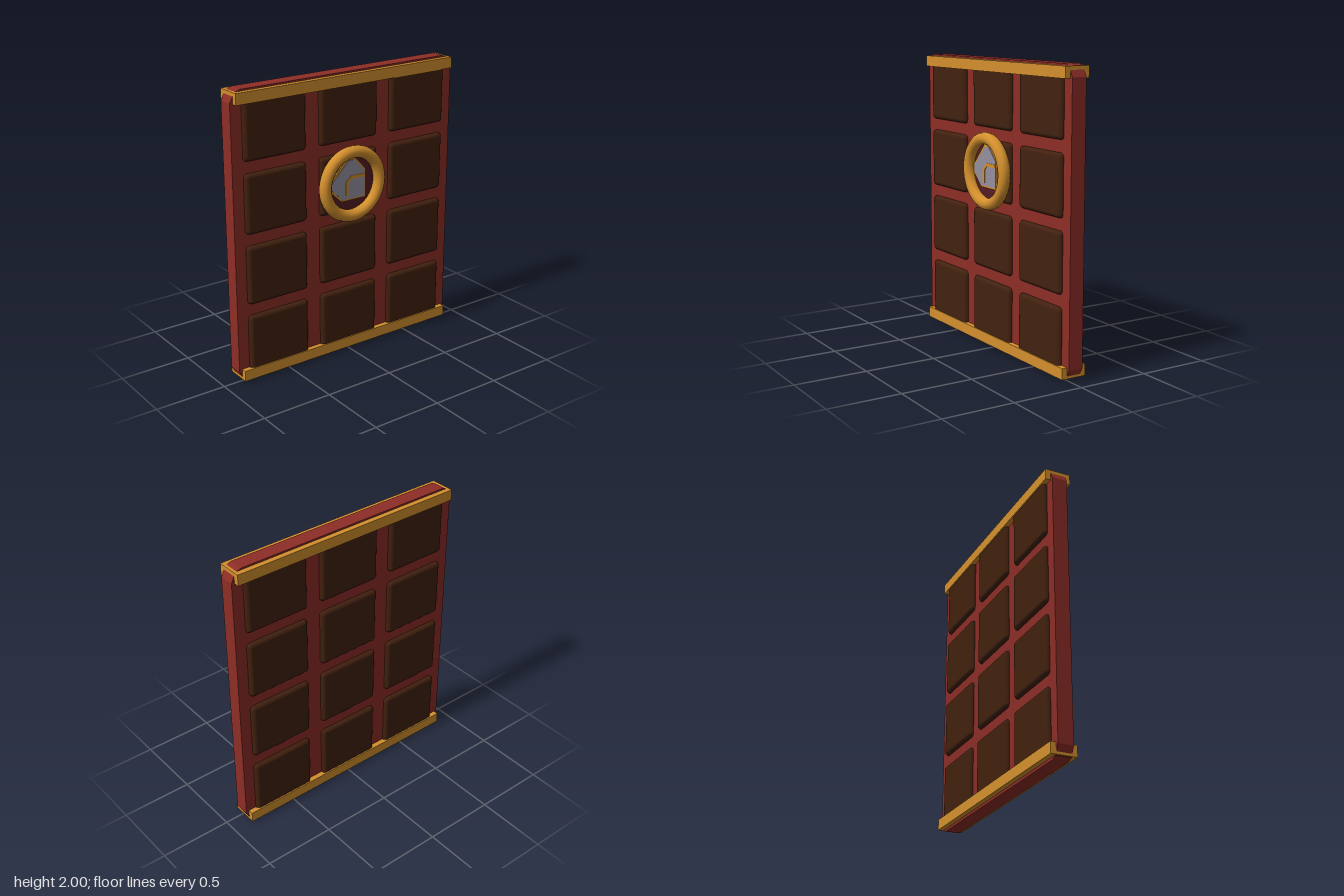
import * as THREE from 'three';
import { RoundedBoxGeometry } from 'three/addons/geometries/RoundedBoxGeometry.js';

export function createModel() {
  const model = new THREE.Group();
  model.name = 'panelledDoor';

  const material = (name, color) => {
    const m = new THREE.MeshStandardMaterial({ color });
    m.name = name;
    return m;
  };
  const red = material('red frame', 0x8d2d26);
  const brown = material('dark brown wood', 0x42210f);
  const gold = material('gold trim', 0xd4902d);
  const maroon = material('maroon disc', 0x541c22);
  const grey = material('grey inlay', 0x9490a0);

  const add = (name, geometry, mat, x = 0, y = 0, z = 0) => {
    const mesh = new THREE.Mesh(geometry, mat);
    mesh.name = name;
    mesh.position.set(x, y, z);
    model.add(mesh);
    return mesh;
  };
  const plate = (points, depth) => new THREE.ExtrudeGeometry(
    new THREE.Shape(points.map(([x, y]) => new THREE.Vector2(x, y))),
    { depth, bevelEnabled: false });

  // Slab with clipped corners
  const corner = [[0.89, 0.92], [0.857, 0.985], [0.815, 1]];
  const flip = (sx, sy) => corner.map(([x, y]) => [x * sx, y * sy]);
  const outline = [
    ...flip(1, 1), ...flip(-1, 1).reverse(),
    ...flip(-1, -1), ...flip(1, -1).reverse(),
  ];
  add('frameSlab', plate(outline, 0.105), red, 0, 1, -0.086);

  // Cushioned panels, showing on both faces
  const panel = new RoundedBoxGeometry(0.467, 0.41, 0.161, 3, 0.028);
  for (let row = 0; row < 4; row++) {
    for (let col = -1; col <= 1; col++) {
      add('panel', panel, brown, col * 0.577, 0.268 + row * 0.49, -0.033);
    }
  }

  // Trim bands across the top and bottom
  const band = new THREE.BoxGeometry(1.736, 0.076, 0.178);
  add('bottomBand', band, gold, 0, 0.057, -0.034);
  add('topBand', band, gold, 0, 1.95, -0.034);

  // Round medallion
  const cy = 1.244;
  add('medallionRing', new THREE.TorusGeometry(0.223, 0.042, 12, 64), gold, 0, cy, 0.078);
  const disc = add('medallionDisc', new THREE.CylinderGeometry(0.21, 0.21, 0.03, 48), maroon, 0, cy, 0.045);
  disc.rotation.x = Math.PI / 2;

  // Angular emblem: gold backing, grey inlay, gold bent strip
  const backing = [[0.116, -0.117], [0.116, 0.084], [0.026, 0.179], [-0.048, 0.179],
    [-0.063, 0.156], [-0.18, 0.031], [-0.18, -0.027], [-0.085, -0.117]];
  const inlay = [[0.104, -0.104], [0.104, 0.08], [0.018, 0.166], [-0.03, 0.162],
    [-0.165, 0.026], [-0.165, -0.02], [-0.08, -0.104]];
  const strip = [[0.106, 0.055], [-0.012, 0.055], [-0.053, 0.012], [-0.053, -0.075],
    [-0.031, -0.085], [-0.031, 0.004], [-0.003, 0.032], [0.106, 0.032]];
  add('emblemBacking', plate(backing, 0.009), gold, 0, cy, 0.059);
  add('emblemInlay', plate(inlay, 0.005), grey, 0, cy, 0.067);
  add('emblemStrip', plate(strip, 0.004), gold, 0, cy, 0.071);

  return model;
}
